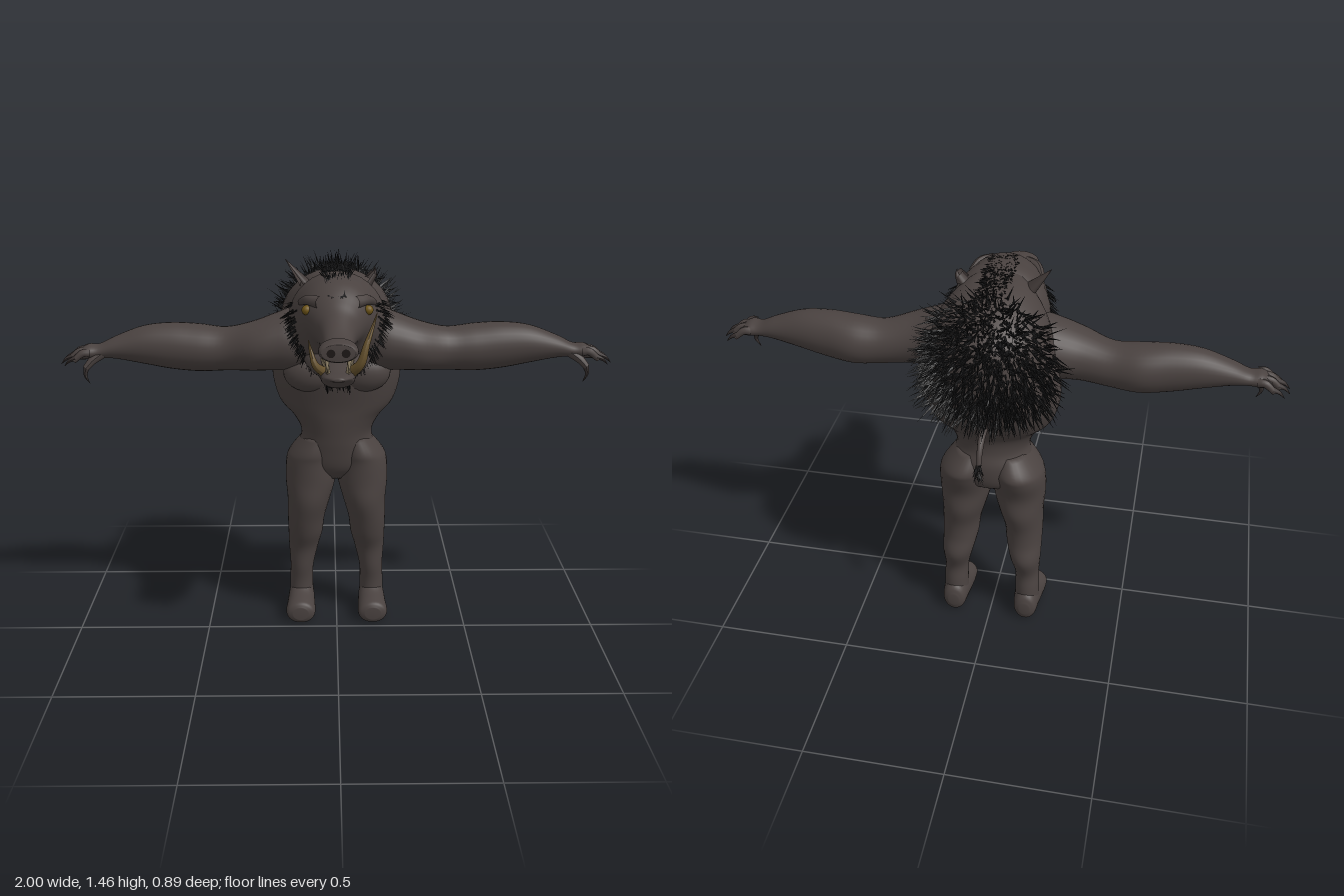
import * as THREE from 'three';

const mat = (name, color, side = THREE.FrontSide) => {
  const m = new THREE.MeshStandardMaterial({ color, side });
  m.name = name;
  return m;
};
const V = (x, y, z) => new THREE.Vector3(x, y, z);

// Seeded random numbers
let seed = 7;
const rnd = () => (seed = (seed * 16807) % 2147483647) / 2147483647;
const rr = (a, b) => a + (b - a) * rnd();

// Ring directions for lofts running along each axis
const AXES = {
  x: [V(0, 1, 0), V(0, 0, 1)],
  y: [V(0, 0, 1), V(1, 0, 0)],
  z: [V(1, 0, 0), V(0, 1, 0)],
};

// Smooth surface point on a loft; rows are [cx, cy, cz, radius u, radius v]
function sampler(axis, rows) {
  const [u, v] = AXES[axis];
  const c = new THREE.CatmullRomCurve3(rows.map(r => V(r[0], r[1], r[2])), false, 'catmullrom', 0.5);
  const s = new THREE.CatmullRomCurve3(rows.map(r => V(r[3], r[4], 0)), false, 'catmullrom', 0.5);
  return (t, a) => {
    const p = c.getPoint(t), q = s.getPoint(t);
    if (a === null) return p;
    return p.addScaledVector(u, Math.max(q.x, 0.001) * Math.cos(a)).addScaledVector(v, Math.max(q.y, 0.001) * Math.sin(a));
  };
}

function loft(axis, rows, n = 28, sub = 5) {
  const at = sampler(axis, rows), rings = (rows.length - 1) * sub, pos = [], idx = [];
  for (let i = 0; i <= rings; i++)
    for (let j = 0; j < n; j++) pos.push(...at(i / rings, (j / n) * Math.PI * 2).toArray());
  pos.push(...at(0, null).toArray(), ...at(1, null).toArray());
  const p0 = (rings + 1) * n;
  for (let j = 0; j < n; j++) {
    const k = (j + 1) % n;
    for (let i = 0; i < rings; i++) {
      const a = i * n + j, b = i * n + k;
      idx.push(a, b, b + n, a, b + n, a + n);
    }
    idx.push(p0, k, j, p0 + 1, rings * n + j, rings * n + k);
  }
  const g = new THREE.BufferGeometry();
  g.setAttribute('position', new THREE.Float32BufferAttribute(pos, 3));
  g.setIndex(idx);
  g.computeVertexNormals();
  return g;
}

// Curved tube whose radius runs from r0 to r1
function taper(points, r0, r1 = 0.0005, seg = 10, radial = 10) {
  const path = new THREE.CatmullRomCurve3(points.map(p => V(...p)));
  const g = new THREE.TubeGeometry(path, seg, r0, radial), p = g.attributes.position, v = V(0, 0, 0);
  for (let i = 0; i < p.count; i++) {
    const t = Math.floor(i / (radial + 1)) / seg, c = path.getPointAt(t);
    v.fromBufferAttribute(p, i).sub(c).multiplyScalar(1 + (r1 / r0 - 1) * t).add(c);
    p.setXYZ(i, v.x, v.y, v.z);
  }
  g.computeVertexNormals();
  return g;
}

function mirror(geo) {
  const g = geo.clone().scale(-1, 1, 1), ix = g.index;
  for (let i = 0; i < ix.count; i += 3) {
    const b = ix.getX(i + 1);
    ix.setX(i + 1, ix.getX(i + 2));
    ix.setX(i + 2, b);
  }
  g.computeVertexNormals();
  return g;
}

// Three-sided spikes; each bristle is [root, direction, length, width]
function bristles(list) {
  const pos = [];
  for (const [root, d, len, w] of list) {
    d.normalize();
    const a = V(d.y, d.z, -d.x).cross(d).normalize(), b = d.clone().cross(a);
    const tip = root.clone().addScaledVector(d, len);
    const ring = [0, 1, 2].map(k => root.clone().addScaledVector(a, w * Math.cos(k * 2.094)).addScaledVector(b, w * Math.sin(k * 2.094)));
    for (let k = 0; k < 3; k++)
      for (const q of [ring[k], ring[(k + 1) % 3], tip]) pos.push(q.x, q.y, q.z);
  }
  const g = new THREE.BufferGeometry();
  g.setAttribute('position', new THREE.Float32BufferAttribute(pos, 3));
  g.computeVertexNormals();
  return g;
}

export function createModel() {
  seed = 7;
  const root = new THREE.Group();
  const skin = mat('hide', 0x4a4240), thin = mat('earHide', 0x433b39, THREE.DoubleSide);
  const hair = mat('bristle', 0x1b1b1c, THREE.DoubleSide), tuskM = mat('tusk', 0x64502c);
  const toothM = mat('tooth', 0x9c8d70), eyeM = mat('eye', 0x6e5518), clawM = mat('claw', 0x383130);
  const dark = mat('nostril', 0x1d1716);
  const add = (name, geo, m) => {
    const o = new THREE.Mesh(geo, m);
    o.name = name;
    root.add(o);
    return o;
  };
  const pair = (name, geo, m) => { add(name + 'Left', geo, m); add(name + 'Right', mirror(geo), m); };

  // Torso with hunched back
  const torso = [
    [0, 0.59, -0.13, 0.05, 0.06], [0, 0.64, -0.14, 0.1, 0.14], [0, 0.72, -0.135, 0.115, 0.143],
    [0, 0.78, -0.122, 0.112, 0.133], [0, 0.84, -0.12, 0.12, 0.16], [0, 0.9, -0.135, 0.145, 0.213],
    [0, 1.0, -0.147, 0.183, 0.24], [0, 1.1, -0.15, 0.208, 0.23], [0, 1.2, -0.155, 0.212, 0.21],
    [0, 1.28, -0.145, 0.19, 0.185], [0, 1.34, -0.11, 0.15, 0.14], [0, 1.38, -0.07, 0.1, 0.08], [0, 1.392, -0.06, 0.01, 0.01]];
  add('torso', loft('y', torso, 40), skin);
  pair('chestMuscle', new THREE.SphereGeometry(1, 24, 16).scale(0.1, 0.075, 0.06).translate(0.095, 1.03, -0.015), skin);

  // Legs and feet
  pair('leg', loft('y', [
    [0.14, 0.04, -0.17, 0.055, 0.048], [0.14, 0.13, -0.17, 0.052, 0.046], [0.137, 0.2, -0.162, 0.054, 0.046],
    [0.13, 0.28, -0.17, 0.07, 0.058], [0.122, 0.35, -0.148, 0.077, 0.067], [0.118, 0.42, -0.137, 0.087, 0.072],
    [0.107, 0.5, -0.135, 0.105, 0.083], [0.1, 0.58, -0.133, 0.103, 0.096], [0.098, 0.66, -0.145, 0.118, 0.094],
    [0.09, 0.7, -0.145, 0.122, 0.083], [0.07, 0.76, -0.13, 0.095, 0.055]]), skin);
  const foot = loft('z', [
    [0.14, 0.055, -0.242, 0.02, 0.025], [0.14, 0.055, -0.225, 0.042, 0.058], [0.14, 0.06, -0.17, 0.05, 0.075],
    [0.141, 0.045, -0.11, 0.055, 0.058], [0.142, 0.04, -0.06, 0.058, 0.05], [0.142, 0.04, -0.035, 0.052, 0.042],
    [0.142, 0.04, -0.024, 0.03, 0.025]]);
  const fp = foot.attributes.position;
  for (let i = 0; i < fp.count; i++) fp.setY(i, Math.max(0, fp.getY(i)));
  foot.computeVertexNormals();
  pair('foot', foot, skin);

  // Arms, hands, fingers and claws
  pair('arm', loft('x', [
    [0.05, 1.14, -0.07, 0.1, 0.1], [0.15, 1.143, -0.06, 0.115, 0.12], [0.22, 1.135, -0.05, 0.104, 0.113],
    [0.3, 1.12, -0.047, 0.09, 0.1], [0.4, 1.105, -0.068, 0.08, 0.082], [0.5, 1.107, -0.077, 0.087, 0.088],
    [0.6, 1.115, -0.072, 0.085, 0.078], [0.7, 1.12, -0.067, 0.07, 0.066], [0.8, 1.112, -0.062, 0.042, 0.05],
    [0.86, 1.1, -0.058, 0.026, 0.04], [0.9, 1.098, -0.055, 0.027, 0.045], [0.935, 1.088, -0.053, 0.017, 0.038]]), skin);
  [-0.095, -0.068, -0.04, -0.013].forEach((z, i) => {
    const e = i === 0 || i === 3 ? -0.018 : 0, s = z + (z + 0.054) * 0.12;
    pair('finger' + i, taper([[0.89, 1.1, z * 0.85 - 0.008], [0.93 + e, 1.102, z], [0.965 + e, 1.075, s]], 0.016, 0.01), skin);
    pair('claw' + i, taper([[0.957 + e, 1.084, s], [0.98 + e, 1.075, s], [1.0 + e, 1.055, s]], 0.011), clawM);
  });
  pair('thumb', taper([[0.85, 1.095, -0.04], [0.885, 1.07, -0.025], [0.908, 1.045, -0.015]], 0.02, 0.012), skin);
  pair('thumbClaw', taper([[0.903, 1.052, -0.017], [0.91, 1.02, -0.012], [0.895, 0.99, -0.01]], 0.012), clawM);

  // Head, long snout and lower jaw
  const head = [
    [0, 1.2, -0.1, 0.15, 0.15], [0, 1.22, 0, 0.174, 0.178], [0, 1.225, 0.07, 0.16, 0.172], [0, 1.243, 0.13, 0.137, 0.142],
    [0, 1.258, 0.17, 0.112, 0.106], [0, 1.247, 0.21, 0.086, 0.085], [0, 1.23, 0.25, 0.066, 0.07], [0, 1.216, 0.32, 0.052, 0.046],
    [0, 1.211, 0.365, 0.051, 0.035], [0, 1.212, 0.39, 0.064, 0.038], [0, 1.212, 0.428, 0.064, 0.034], [0, 1.212, 0.442, 0.055, 0.028]];
  add('head', loft('z', head, 36), skin);
  const jaw = [
    [0, 1.11, 0.03, 0.13, 0.055], [0, 1.1, 0.13, 0.105, 0.052], [0, 1.093, 0.2, 0.075, 0.043], [0, 1.093, 0.28, 0.06, 0.037],
    [0, 1.098, 0.34, 0.055, 0.028], [0, 1.112, 0.38, 0.045, 0.014], [0, 1.117, 0.418, 0.018, 0.007]];
  add('lowerJaw', loft('z', jaw), skin);
  pair('brow', taper([[0.06, 1.325, 0.19], [0.1, 1.328, 0.16], [0.125, 1.31, 0.11]], 0.022, 0.012), skin);
  pair('eye', new THREE.SphereGeometry(0.017, 16, 12).translate(0.105, 1.295, 0.168), eyeM);
  pair('nostril', new THREE.CircleGeometry(0.014, 16).translate(0.024, 1.212, 0.4435), dark);

  // Teeth and uneven tusks
  for (let i = 0; i < 7; i++) {
    const z = 0.19 + i * 0.025, x = 0.064 - i * 0.004;
    pair('upperTooth' + i, taper([[x * 0.8, 1.185, z + 0.012], [x * 0.8, 1.152, z + 0.012]], 0.009, 0.002, 2, 7), toothM);
    pair('lowerTooth' + i, taper([[x * 0.8, 1.11, z], [x * 0.8, 1.15, z]], 0.009, 0.002, 2, 7), toothM);
  }
  pair('fang', taper([[0.035, 1.19, 0.37], [0.036, 1.15, 0.373], [0.034, 1.125, 0.37]], 0.01), toothM);
  add('longTusk', taper([[0.045, 1.11, 0.29], [0.075, 1.145, 0.315], [0.095, 1.21, 0.31], [0.115, 1.26, 0.28], [0.132, 1.298, 0.23]], 0.02, 0.001, 20, 12), tuskM);
  add('shortTusk', taper([[-0.045, 1.11, 0.29], [-0.075, 1.14, 0.312], [-0.088, 1.18, 0.305], [-0.098, 1.215, 0.27]], 0.018, 0.001, 16, 12), tuskM);

  // Ears: the right one tall and pointed, the left one cut short
  const ear = (name, base, tip, r0, r1) => {
    const a = V(...base), d = V(...tip).sub(a), h = d.length();
    const g = new THREE.CylinderGeometry(r1, r0, h, 18, 4, true, -0.2, 4.8).translate(0, h / 2, 0).scale(0.6, 1, 1.15);
    const e = add(name, g, thin);
    e.position.copy(a);
    e.quaternion.setFromUnitVectors(V(0, 1, 0), d.normalize());
  };
  ear('rightEar', [-0.095, 1.325, -0.035], [-0.183, 1.432, -0.055], 0.042, 0.001);
  ear('leftEar', [0.09, 1.325, -0.04], [0.132, 1.385, -0.045], 0.04, 0.024);
  add('leftEarTip', taper([[0.122, 1.36, -0.06], [0.135, 1.385, -0.06], [0.135, 1.405, -0.055]], 0.016), thin);

  // Shaggy back, denser toward the spine
  const onTorso = sampler('y', torso), onHead = sampler('z', head), fur = [];
  while (fur.length < 1900) {
    const p = onTorso(rr(0.47, 0.97), rr(Math.PI * 0.5, Math.PI * 1.5));
    const low = -0.17 - Math.max(0, 1.1 - p.y) * 0.75;
    if (p.z > low || rnd() > (low - p.z) * 6 + 0.08) continue;
    const out = V(p.x, (p.y - 1.12) * 0.9, p.z + 0.12).normalize();
    fur.push([p, out.add(V(rr(-0.4, 0.4), rr(-0.8, 0.35), rr(-0.6, 0.1))), rr(0.04, 0.085), rr(0.003, 0.006)]);
  }
  add('backFur', bristles(fur), hair);

  // Crest running over the crown to the hump
  const crest = [];
  for (let i = 0; i < 650; i++) {
    const z = 0.2 - 0.48 * rnd(), x = rr(-0.042, 0.042) * (z > 0.1 ? 0.7 : 1);
    const y = z > 0.1 ? 1.393 - (z - 0.1) * 0.45 : z > -0.08 ? 1.39 : 1.39 - (z + 0.08) ** 2 * 2.6;
    crest.push([V(x, y - 0.008, z), V(x * 8 + rr(-0.3, 0.3), rr(0.25, 0.75), -1), rr(0.03, 0.07), rr(0.003, 0.006)]);
  }
  add('crest', bristles(crest), hair);

  // Cheek whiskers and beard
  const whiskers = [];
  for (let i = 0; i < 320; i++) {
    const s = i % 2 ? 1 : -1, a = rr(-1.15, 0.45), p = onHead(rr(0.1, 0.26), s > 0 ? a : Math.PI - a);
    whiskers.push([p, V(s * Math.cos(a) * 0.8, Math.sin(a) - 0.7, rr(-0.7, 0.1)), rr(0.025, 0.05), rr(0.002, 0.004)]);
  }
  for (let i = 0; i < 110; i++) {
    const z = rr(0.04, 0.32);
    whiskers.push([V(rr(-0.04, 0.04), 1.064, z), V(rr(-0.3, 0.3), -1, rr(-0.4, 0.1)), rr(0.02, 0.042), rr(0.002, 0.004)]);
  }
  add('whiskers', bristles(whiskers), hair);

  // Tail with tuft
  add('tail', taper([[0, 0.94, -0.28], [0, 0.92, -0.335], [0, 0.88, -0.37], [0, 0.82, -0.39]], 0.015, 0.007, 16), skin);
  const tuft = [];
  for (let i = 0; i < 60; i++)
    tuft.push([V(rr(-0.008, 0.008), rr(0.82, 0.85), rr(-0.395, -0.378)), V(rr(-0.5, 0.5), -1, rr(-0.7, 0.4)), rr(0.03, 0.055), 0.004]);
  add('tailTuft', bristles(tuft), hair);
  return root;
}
